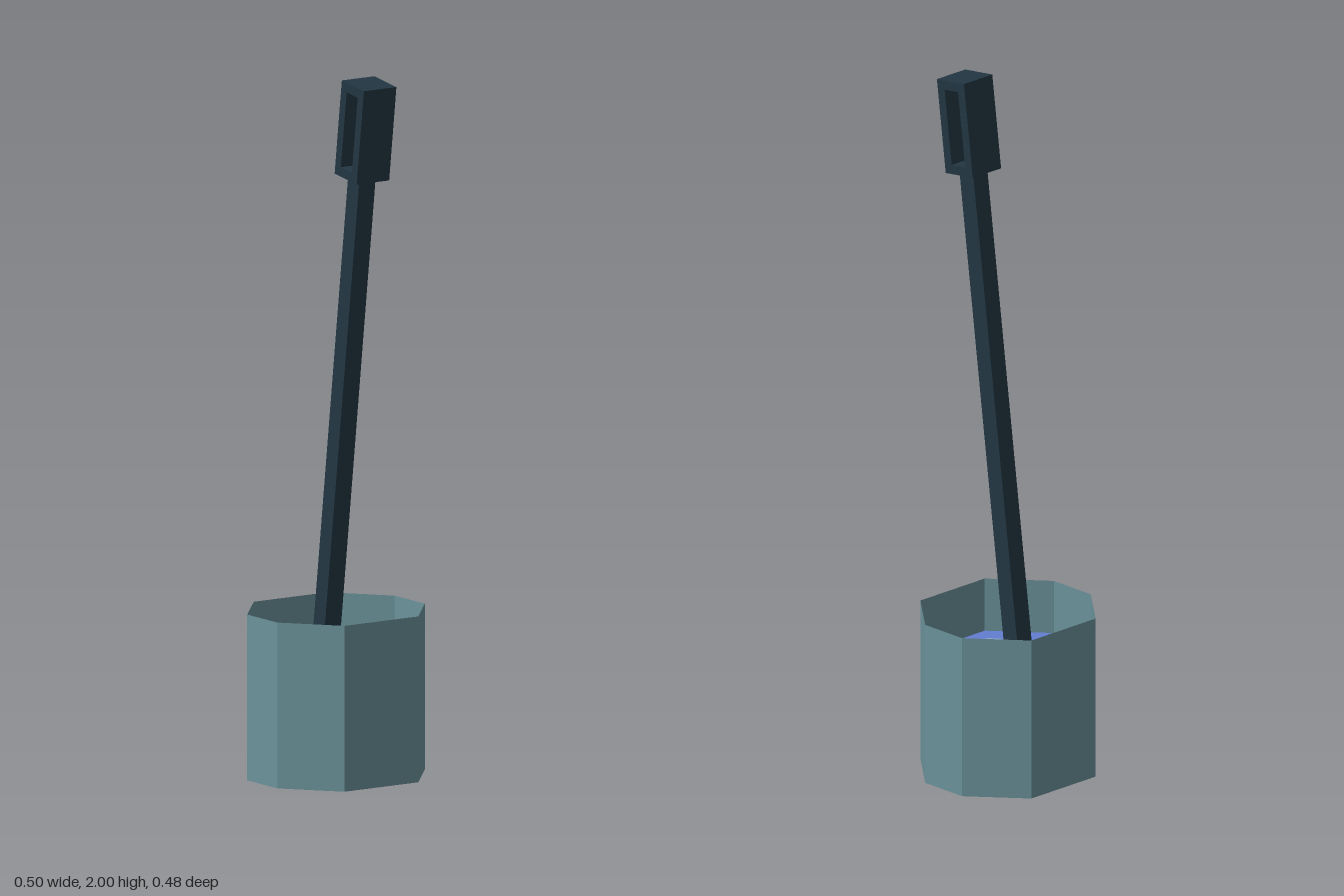
import * as THREE from 'three';

function mat(name, color, side = THREE.FrontSide) {
  const m = new THREE.MeshStandardMaterial({ color, side });
  m.name = name;
  return m;
}

// Flat horizontal plate from [x, z] points
function plate(points) {
  const shape = new THREE.Shape(points.map(([x, z]) => new THREE.Vector2(x, -z)));
  return new THREE.ShapeGeometry(shape).rotateX(-Math.PI / 2);
}

// Open wall standing on a closed [x, z] outline
function wall(points, height) {
  const pos = [];
  points.forEach(([ax, az], i) => {
    const [bx, bz] = points[(i + 1) % points.length];
    pos.push(ax, 0, az, bx, 0, bz, bx, height, bz);
    pos.push(ax, 0, az, bx, height, bz, ax, height, az);
  });
  const g = new THREE.BufferGeometry();
  g.setAttribute('position', new THREE.Float32BufferAttribute(pos, 3));
  g.computeVertexNormals();
  return g;
}

export function createModel() {
  const root = new THREE.Group();
  root.name = 'bucketAndMop';

  const bucketMat = mat('bucketGrey', 0x6a929a, THREE.DoubleSide);
  const waterMat = mat('waterBlue', 0x627ed2, THREE.DoubleSide);
  const foamMat = mat('foamPaleBlue', 0x86a5cc, THREE.DoubleSide);
  const handleMat = mat('handleNavy', 0x233643);

  const add = (parent, name, geometry, material) => {
    const mesh = new THREE.Mesh(geometry, material);
    mesh.name = name;
    parent.add(mesh);
    return mesh;
  };

  // Eight-sided bucket: thin wall and floor
  const half = [[0.125, 0.203], [0.25, 0.055], [0.25, -0.092], [0.125, -0.24]];
  const outline = [...half, ...half.map(([x, z]) => [-x, z]).reverse()];
  add(root, 'bucketWall', wall(outline, 0.47), bucketMat);
  add(root, 'bucketFloor', plate(outline), bucketMat);

  // Water with small foam patches
  const waterY = 0.315;
  add(root, 'water', plate(outline), waterMat).position.y = waterY;
  const patches = [
    [[-0.058, -0.16], [-0.035, -0.16], [-0.025, -0.13], [-0.03, -0.105], [-0.053, -0.1], [-0.041, -0.13]],
    [[0.065, -0.16], [0.097, -0.165], [0.112, -0.12], [0.107, -0.082], [0.095, -0.082], [0.096, -0.137], [0.07, -0.142]],
    [[-0.137, -0.108], [-0.126, -0.085], [-0.13, -0.066], [-0.145, -0.085]],
    [[-0.13, -0.015], [-0.112, 0], [-0.126, 0.012], [-0.127, 0.048], [-0.14, 0.048], [-0.14, 0.01]],
    [[-0.11, 0.115], [-0.09, 0.105], [-0.075, 0.13], [-0.08, 0.157], [-0.096, 0.135]],
    [[0.062, 0.046], [0.08, 0.047], [0.112, 0.075], [0.097, 0.09], [0.093, 0.11], [0.075, 0.11], [0.083, 0.08]],
    [[0.045, 0.13], [0.075, 0.119], [0.065, 0.133]],
  ];
  patches.forEach((p, i) => {
    add(root, `foam${i + 1}`, plate(p), foamMat).position.y = waterY + 0.003;
  });

  // Leaning handle, with its origin at the centre of the grip
  const handle = new THREE.Group();
  handle.name = 'handle';
  handle.position.set(-0.028, 1.858, 0.166);
  handle.rotation.x = 0.13;
  root.add(handle);

  // Grip: rectangular loop, open from side to side
  const rect = (Type, w, h) => new Type([
    new THREE.Vector2(-w, -h), new THREE.Vector2(w, -h),
    new THREE.Vector2(w, h), new THREE.Vector2(-w, h),
  ]);
  const loop = rect(THREE.Shape, 0.0545, 0.136);
  loop.holes.push(rect(THREE.Path, 0.027, 0.109));
  const gripGeo = new THREE.ExtrudeGeometry(loop, { depth: 0.11, bevelEnabled: false });
  gripGeo.translate(0, 0, -0.055).rotateY(Math.PI / 2);
  add(handle, 'grip', gripGeo, handleMat);

  // Square shaft running down below the water
  const length = 1.66;
  add(handle, 'shaft', new THREE.BoxGeometry(0.055, length, 0.055), handleMat)
    .position.y = -0.13 - length / 2;

  return root;
}
